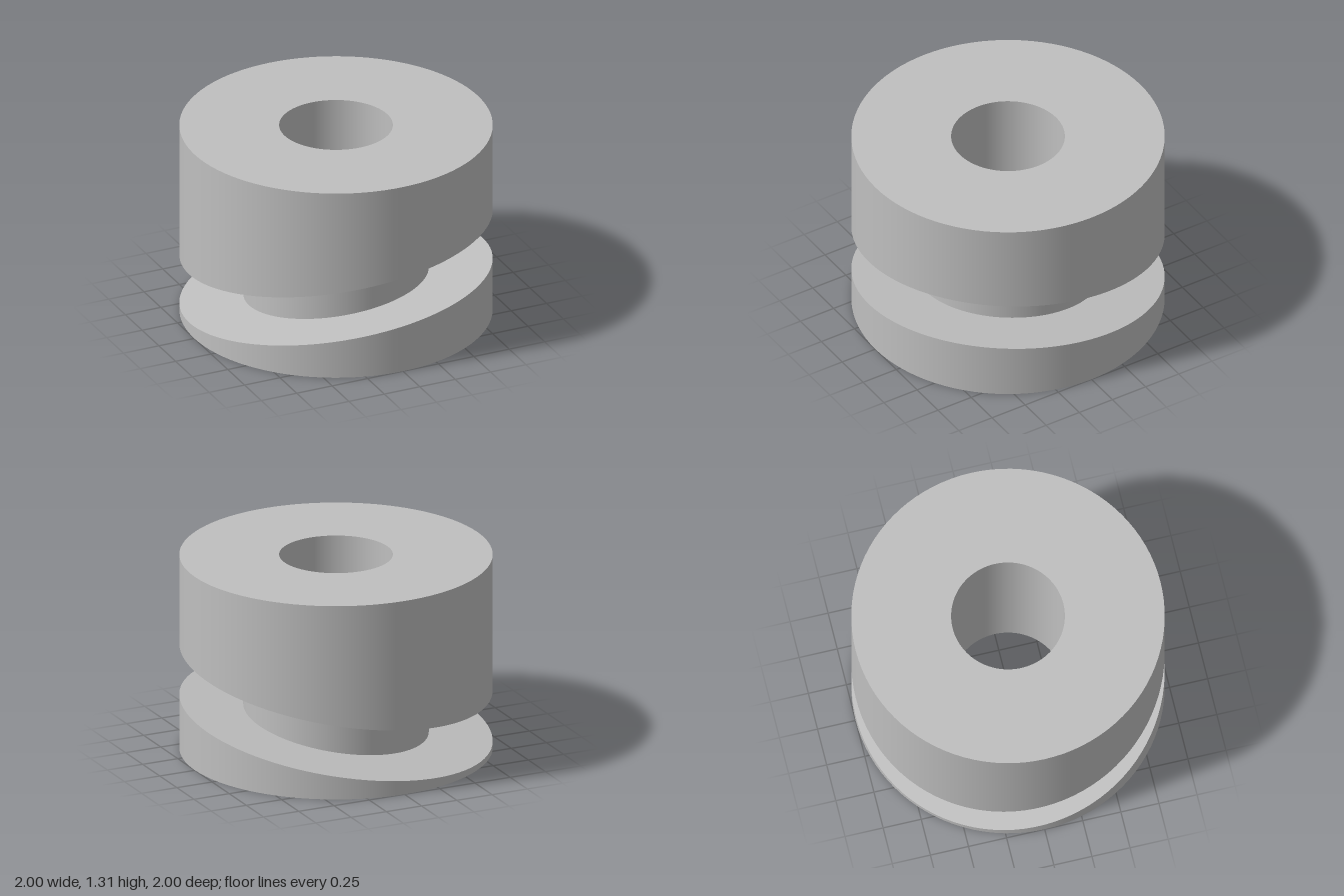
import * as THREE from 'three';
import { mergeGeometries } from 'three/addons/utils/BufferGeometryUtils.js';

const SEGMENTS = 96;
const OUTER = 1, NECK = 0.592, BORE = 0.363, TOP = 1.307;
const GROOVE_LOW = 0.204, GROOVE_HIGH = 0.546; // groove wall heights on the axis
const TILT_X = 0.12, TILT_Z = 0.114;           // slope of the slanted groove

// Profile points are [radius, height, slanted]; each span becomes its own sharp-edged band.
function band([r0, y0, slant0], [r1, y1, slant1]) {
  const geometry = new THREE.LatheGeometry(
    [new THREE.Vector2(r0, y0), new THREE.Vector2(r1, y1)], SEGMENTS);
  const position = geometry.attributes.position;
  for (let i = 0; i < position.count; i++) {
    // Lathe vertices alternate between the two profile points
    if (i % 2 === 0 ? slant0 : slant1) {
      position.setY(i, position.getY(i) + TILT_X * position.getX(i) + TILT_Z * position.getZ(i));
    }
  }
  if (r0 !== r1) geometry.computeVertexNormals(); // flat ring
  return geometry;
}

function turned(name, profile, material) {
  const bands = profile.slice(1).map((point, i) => band(profile[i], point));
  const mesh = new THREE.Mesh(mergeGeometries(bands), material);
  mesh.name = name;
  return mesh;
}

export function createModel() {
  const model = new THREE.Group();
  model.name = 'groovedBushing';
  const steel = new THREE.MeshStandardMaterial({ color: 0xbfbfbf });
  steel.name = 'plain grey';

  model.add(
    // Thin base with a slanted top
    turned('lowerFlange', [[BORE, 0, false], [OUTER, 0, false],
      [OUTER, GROOVE_LOW, true], [NECK, GROOVE_LOW, true]], steel),
    // Narrow core between the flanges
    turned('neck', [[NECK, GROOVE_LOW, true], [NECK, GROOVE_HIGH, true]], steel),
    // Tall head with a slanted underside
    turned('upperBody', [[NECK, GROOVE_HIGH, true], [OUTER, GROOVE_HIGH, true],
      [OUTER, TOP, false], [BORE, TOP, false]], steel),
    // Through hole, facing inward
    turned('bore', [[BORE, TOP, false], [BORE, 0, false]], steel),
  );
  return model;
}
